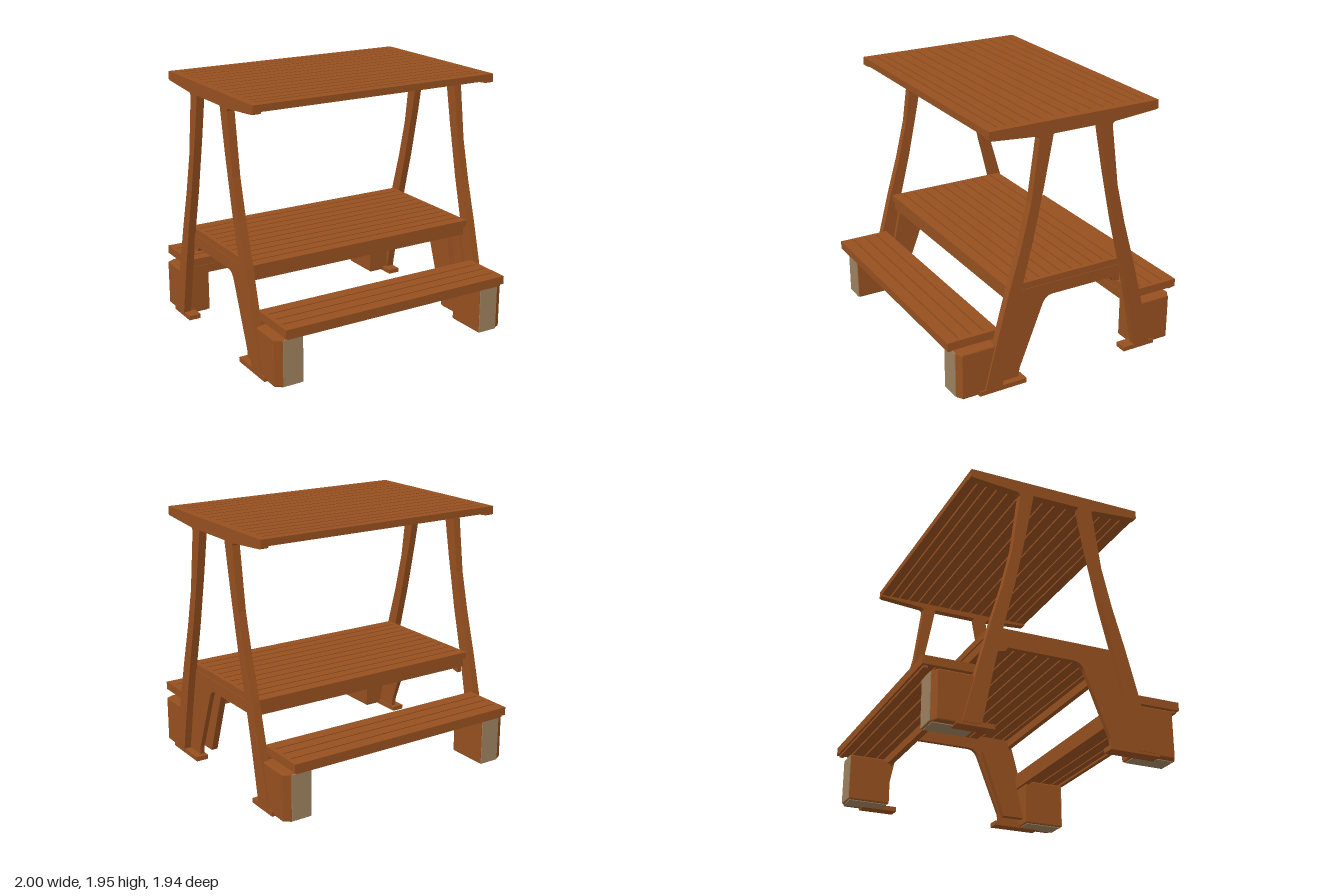
import * as THREE from 'three';

const wood = new THREE.MeshStandardMaterial({ color: 0x96501f });
wood.name = 'brown wood';
const stone = new THREE.MeshStandardMaterial({ color: 0x9e8260 });
stone.name = 'tan block face';

export function createModel() {
  const model = new THREE.Group();
  model.name = 'shelteredPicnicTable';

  const add = (name, geometry, material = wood, parent = model) => {
    const mesh = new THREE.Mesh(geometry, material);
    mesh.name = name;
    parent.add(mesh);
    return mesh;
  };

  // Box given by its minimum and maximum on each axis
  const box = (name, x0, x1, y0, y1, z0, z1, material, parent) => {
    const g = new THREE.BoxGeometry(x1 - x0, y1 - y0, z1 - z0);
    g.translate((x0 + x1) / 2, (y0 + y1) / 2, (z0 + z1) / 2);
    return add(name, g, material, parent);
  };

  const outline = (points) => new THREE.Shape(points.map(([a, b]) => new THREE.Vector2(a, b)));

  // Side profile of [z, y] points, extruded between two x positions
  const profile = (name, shape, x0, x1) => {
    const g = new THREE.ExtrudeGeometry(shape, { depth: x1 - x0, bevelEnabled: false, curveSegments: 6 });
    g.rotateY(-Math.PI / 2);
    g.translate(x1, 0, 0);
    return add(name, g);
  };

  // Deck of boards running along x, with narrow gaps and closed ends
  const deck = (name, halfX, y0, y1, edges, cap) => {
    const group = new THREE.Group();
    group.name = name;
    const gap = 0.006;
    const last = edges.length - 1;
    for (let i = 0; i < last; i++) {
      box('board', -halfX + cap, halfX - cap, y0, y1,
        edges[i] + (i > 0 ? gap : 0), edges[i + 1] - (i < last - 1 ? gap : 0), wood, group);
    }
    if (cap > 0) {
      for (const s of [-1, 1]) {
        const xs = [s * halfX, s * (halfX - cap)].sort((a, b) => a - b);
        box('endStrip', xs[0], xs[1], y0, y1, edges[0], edges[last], wood, group);
      }
    }
    model.add(group);
  };

  // Roof boards
  deck('roof', 1, 1.9, 1.95,
    [-0.67, -0.59, -0.515, -0.43, -0.34, -0.25, -0.15, -0.053, 0.043, 0.14, 0.24, 0.33, 0.42, 0.51, 0.58, 0.67], 0.06);

  // Table boards with long rails below
  deck('tableTop', 0.94, 0.72, 0.77, Array.from({ length: 12 }, (_, i) => -0.5 + i / 11), 0.03);

  for (const f of [1, -1]) {
    const span = (a, b) => (f > 0 ? [a, b] : [-b, -a]);
    box('tableRail', -0.92, 0.92, 0.655, 0.72, ...span(0.45, 0.49));

    // Bench boards, carrying rail and front lip
    const edges = [0.57, 0.67, 0.77, 0.87, 0.97].map((z) => z * f).sort((a, b) => a - b);
    deck(f > 0 ? 'frontBench' : 'backBench', 0.94, 0.4, 0.462, edges, 0.03);
    box('benchRail', -0.94, 0.94, 0.335, 0.4, ...span(0.565, 0.61));
    box('benchLip', -0.92, 0.92, 0.382, 0.4, ...span(0.925, 0.955));
  }

  for (const s of [1, -1]) {
    const xs = (a, b) => (s > 0 ? [a, b] : [-b, -a]);

    // Tapered beam under each roof end
    profile('roofBeam', outline([[-0.67, 1.9], [-0.67, 1.89], [-0.655, 1.883], [-0.3, 1.855],
      [0.3, 1.855], [0.655, 1.883], [0.67, 1.89], [0.67, 1.9]]), ...xs(0.94, 1));

    // Table bearer with a curved corner that runs down into the front leg
    const bracket = new THREE.Shape();
    bracket.moveTo(0.58, 0.03);
    bracket.lineTo(0.43, 0.72);
    bracket.lineTo(-0.44, 0.72);
    bracket.lineTo(-0.44, 0.59);
    bracket.lineTo(-0.385, 0.6);
    bracket.lineTo(-0.365, 0.63);
    bracket.lineTo(0.13, 0.63);
    bracket.quadraticCurveTo(0.19, 0.63, 0.215, 0.57);
    bracket.lineTo(0.4, 0.1);
    bracket.lineTo(0.41, 0.03);
    profile('bracket', bracket, ...xs(0.91, 0.945));

    for (const f of [1, -1]) {
      // Slanted post, slightly bowed
      profile('post', outline([[0.285, 1.87], [0.352, 1.38], [0.425, 1.08], [0.515, 0.77], [0.6, 0.45], [0.71, 0.02],
        [0.575, 0.02], [0.495, 0.42], [0.418, 0.77], [0.335, 1.1], [0.25, 1.5], [0.18, 1.87]]
        .map(([z, y]) => [z * f, y])), ...xs(0.94, 1));

      // Small gusset joining post and roof beam
      profile('gusset', outline([[0.275, 1.86], [0.31, 1.86], [0.278, 1.825]]
        .map(([z, y]) => [z * f, y])), ...xs(0.94, 1));

      // Foot plate
      const inner = f > 0 ? 0.37 : 0.48;
      box('footPlate', ...xs(0.9, 0.995), 0, 0.035, ...(f > 0 ? [inner, 0.75] : [-0.75, -inner]));

      // Block under the bench, with a slanted outer corner
      const plan = outline([[0.775, 0.59], [0.775, 0.9], [0.93, 0.9], [0.98, 0.875], [0.98, 0.63], [0.94, 0.59]]
        .map(([x, z]) => [x * s, -z * f]));
      const g = new THREE.ExtrudeGeometry(plan, {
        depth: 0.335, bevelThickness: 0.01, bevelSize: 0.008, bevelOffset: -0.004, bevelSegments: 2,
      });
      g.rotateX(-Math.PI / 2);
      g.translate(0, 0.02, 0);
      add('benchBlock', g);

      // Tan end and underside of the block
      const z = (a, b) => (f > 0 ? [a, b] : [-b, -a]);
      box('blockFace', ...xs(0.774, 0.93), 0.015, 0.36, ...z(0.903, 0.911), stone);
      box('blockUnderside', ...xs(0.785, 0.935), 0.004, 0.012, ...z(0.6, 0.895), stone);
    }
  }

  // Inner brace beside the left front bracket
  profile('innerBrace', outline([[0.57, 0.05], [0.43, 0.7], [0.19, 0.7], [0.215, 0.57], [0.4, 0.05]]), 0.8, 0.85);

  return model;
}
